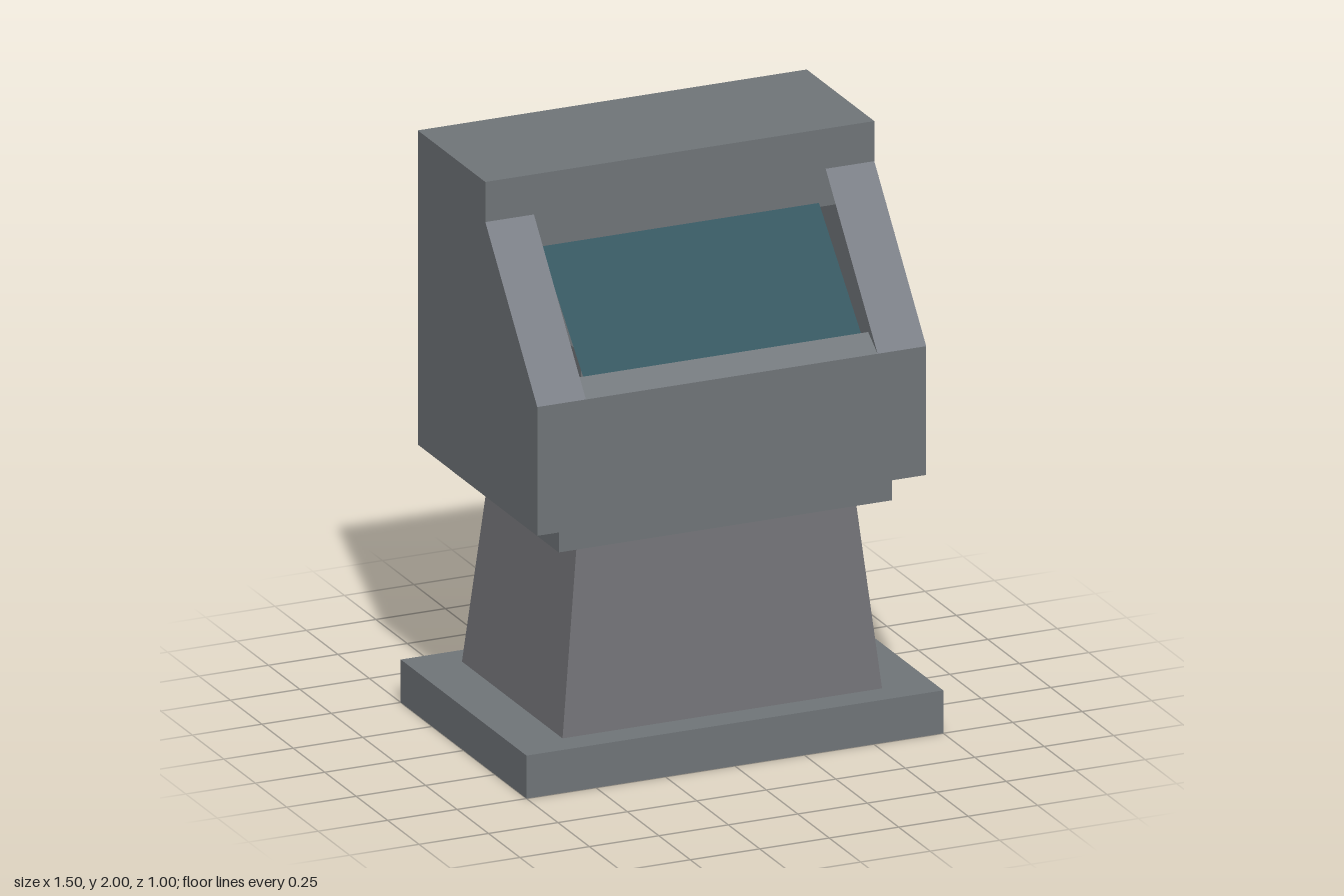
import * as THREE from 'three';

const material = (color) => new THREE.MeshStandardMaterial({ color, flatShading: true, side: THREE.DoubleSide });
const grey = material(0x707579);
const pedestalGrey = material(0x737377);
const cheekGrey = material(0x70747d);
const screenTeal = material(0x104753);
const coreTeal = material(0x128593);

function addMesh(parent, name, geometry, mat = grey) {
  const mesh = new THREE.Mesh(geometry, mat);
  mesh.name = name;
  parent.add(mesh);
  return mesh;
}

// Flat sheet between two x values, from a lower to an upper [y, z] edge
function sheet(x0, x1, [ya, za], [yb, zb]) {
  const g = new THREE.BufferGeometry();
  g.setAttribute('position', new THREE.Float32BufferAttribute(
    [x0, ya, za, x1, ya, za, x1, yb, zb, x0, yb, zb], 3));
  g.setIndex([0, 1, 2, 0, 2, 3]);
  g.computeVertexNormals();
  return g;
}

// Four tapering walls with no floor; w and d are half sizes, capped on request
function walls(y0, w0, d0, y1, w1, d1, cap) {
  const p = [];
  for (const [y, w, d] of [[y0, w0, d0], [y1, w1, d1]]) {
    p.push(-w, y, d, w, y, d, w, y, -d, -w, y, -d);
  }
  const index = [];
  for (let i = 0; i < 4; i++) {
    const j = (i + 1) % 4;
    index.push(i, j, j + 4, i, j + 4, i + 4);
  }
  if (cap) index.push(4, 5, 6, 4, 6, 7);
  const g = new THREE.BufferGeometry();
  g.setAttribute('position', new THREE.Float32BufferAttribute(p, 3));
  g.setIndex(index);
  const flat = g.toNonIndexed();
  flat.computeVertexNormals();
  return flat;
}

export function createModel() {
  const model = new THREE.Group();
  model.name = 'console';

  // Stand: plinth, tapered pedestal and collar, all open underneath
  const stand = new THREE.Group();
  stand.name = 'stand';
  model.add(stand);
  addMesh(stand, 'plinth', walls(0, 0.75, 0.5, 0.15, 0.75, 0.5, true));
  addMesh(stand, 'pedestal', walls(0.15, 0.575, 0.4, 0.82, 0.5, 0.35, false), pedestalGrey);
  addMesh(stand, 'collar', walls(0.812, 0.6, 0.425, 0.902, 0.6, 0.425, true));

  // Hood: thin shell, open at the bottom and at the lower back
  const hood = new THREE.Group();
  hood.name = 'hood';
  model.add(hood);
  const W = 0.7, back = -0.475, front = 0.475, brow = 0.062;
  const profile = [[back, 0.902], [front, 0.902], [front, 1.352], [brow, 1.86], [brow, 2], [back, 2]];
  const side = new THREE.ShapeGeometry(new THREE.Shape(profile.map(([z, y]) => new THREE.Vector2(-z, y))));
  side.rotateY(Math.PI / 2);
  for (const s of [-1, 1]) {
    addMesh(hood, s > 0 ? 'leftSide' : 'rightSide', side).position.x = s * W;
    // Sloping cheek beside the screen, running up behind the brow
    addMesh(hood, s > 0 ? 'leftCheek' : 'rightCheek',
      sheet(s > 0 ? 0.525 : -W, s > 0 ? W : -0.525, [1.352, front], [1.93, 0.005]), cheekGrey);
  }
  addMesh(hood, 'hoodTop', sheet(-W, W, [2, brow], [2, back]));
  addMesh(hood, 'brow', sheet(-W, W, [1.73, brow], [2, brow]));
  addMesh(hood, 'backPanel', sheet(W, -W, [1.722, back], [2, back]));
  addMesh(hood, 'frontPanel', sheet(-W, W, [0.902, front], [1.352, front]));
  addMesh(hood, 'sill', sheet(-0.525, 0.525, [1.352, front], [1.403, 0.4]));
  addMesh(hood, 'screen', sheet(-0.5, 0.5, [1.4, 0.4], [1.745, 0.064]), screenTeal);

  // Inner frame: four hollow posts and a rear plate standing on the collar
  const frame = new THREE.Group();
  frame.name = 'innerFrame';
  model.add(frame);
  const post = walls(0.902, 0.05, 0.042, 1.455, 0.05, 0.042, false);
  for (const x of [-0.423, 0.423]) {
    for (const z of [-0.28, 0.28]) addMesh(frame, 'post', post).position.set(x, 0, z);
  }
  const plate = addMesh(frame, 'rearPlate', new THREE.BoxGeometry(0.76, 0.55, 0.03));
  plate.position.set(0, 1.178, -0.29);

  // Octagonal coloured core with a grey ring round its top
  const core = addMesh(frame, 'core', new THREE.CylinderGeometry(0.18, 0.18, 0.49, 8), coreTeal);
  core.position.y = 1.147;
  const ringProfile = [[0.18, 1.34], [0.225, 1.36], [0.225, 1.4], [0.18, 1.392]]
    .map(([r, y]) => new THREE.Vector2(r, y));
  addMesh(frame, 'coreRing', new THREE.LatheGeometry(ringProfile, 8));

  return model;
}
